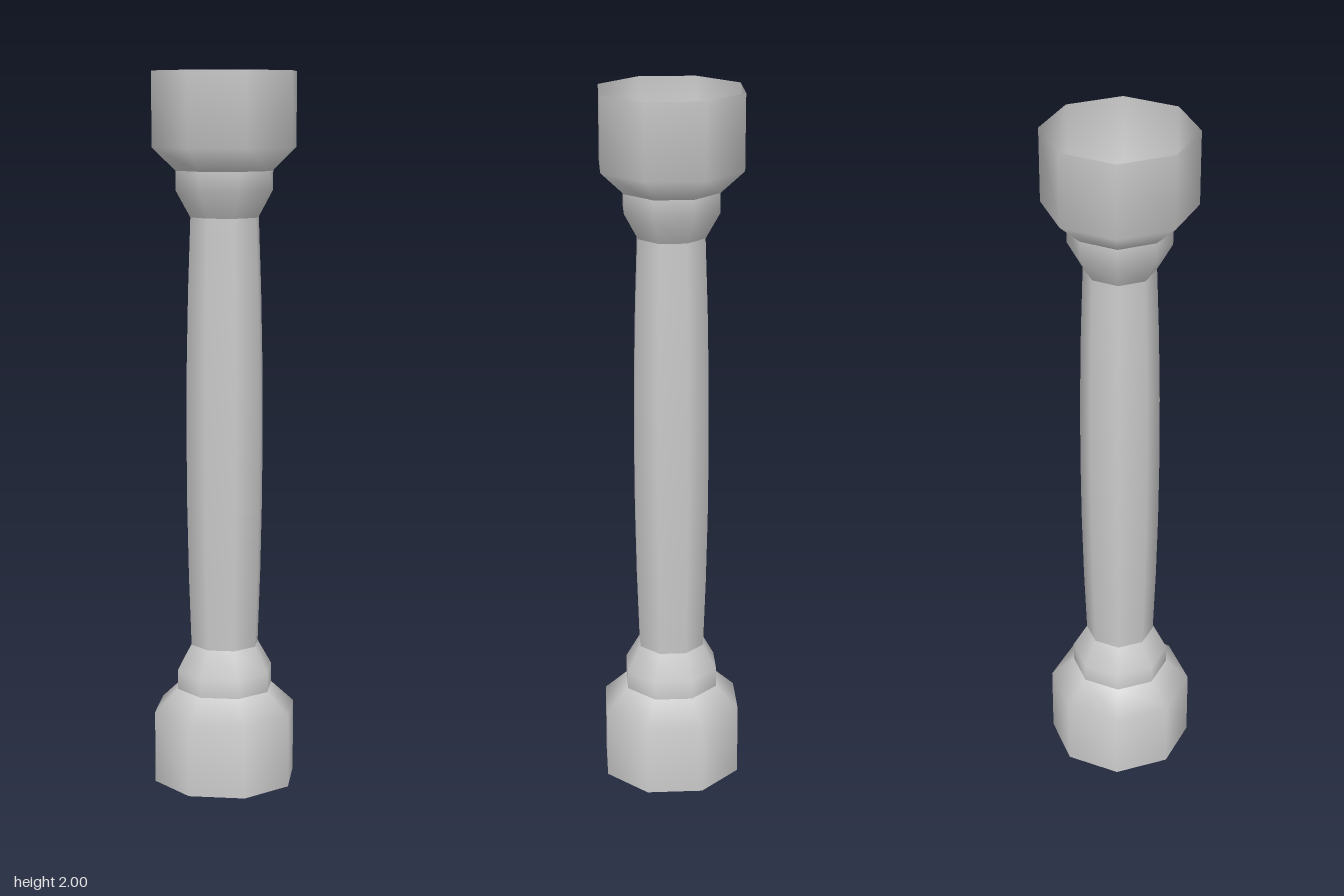
import * as THREE from 'three';

const SIDES = 8;
const TURN = THREE.MathUtils.degToRad(25);

export function createModel() {
  const group = new THREE.Group();
  group.name = 'column';
  const material = new THREE.MeshStandardMaterial({ color: 0xcccccc, side: THREE.DoubleSide });

  // Open eight-sided ring swept from [radius, y] points, listed bottom to top
  const addPart = (name, profile) => {
    const points = profile.map(([r, y]) => new THREE.Vector2(r, y));
    const mesh = new THREE.Mesh(new THREE.LatheGeometry(points, SIDES, TURN), material);
    mesh.name = name;
    group.add(mesh);
  };
  const mirrored = (profile) => profile.map(([r, y]) => [r, 2 - y]).reverse();

  // Chamfered base and matching capital
  const block = [[0.206, 0], [0.206, 0.205], [0.139, 0.268]];
  addPart('base', block);
  addPart('capital', mirrored(block));

  // Collars tapering into the shaft
  const collar = [[0.139, 0.268], [0.139, 0.322], [0.098, 0.395]];
  addPart('lowerCollar', collar);
  addPart('upperCollar', mirrored(collar));

  // Hollow shaft with a slight swelling at mid height
  const shaft = [];
  for (let i = 0; i <= 6; i++) {
    const t = i / 3 - 1;
    shaft.push([0.098 + 0.013 * (1 - t * t), 1 + 0.605 * t]);
  }
  addPart('shaft', shaft);

  return group;
}
